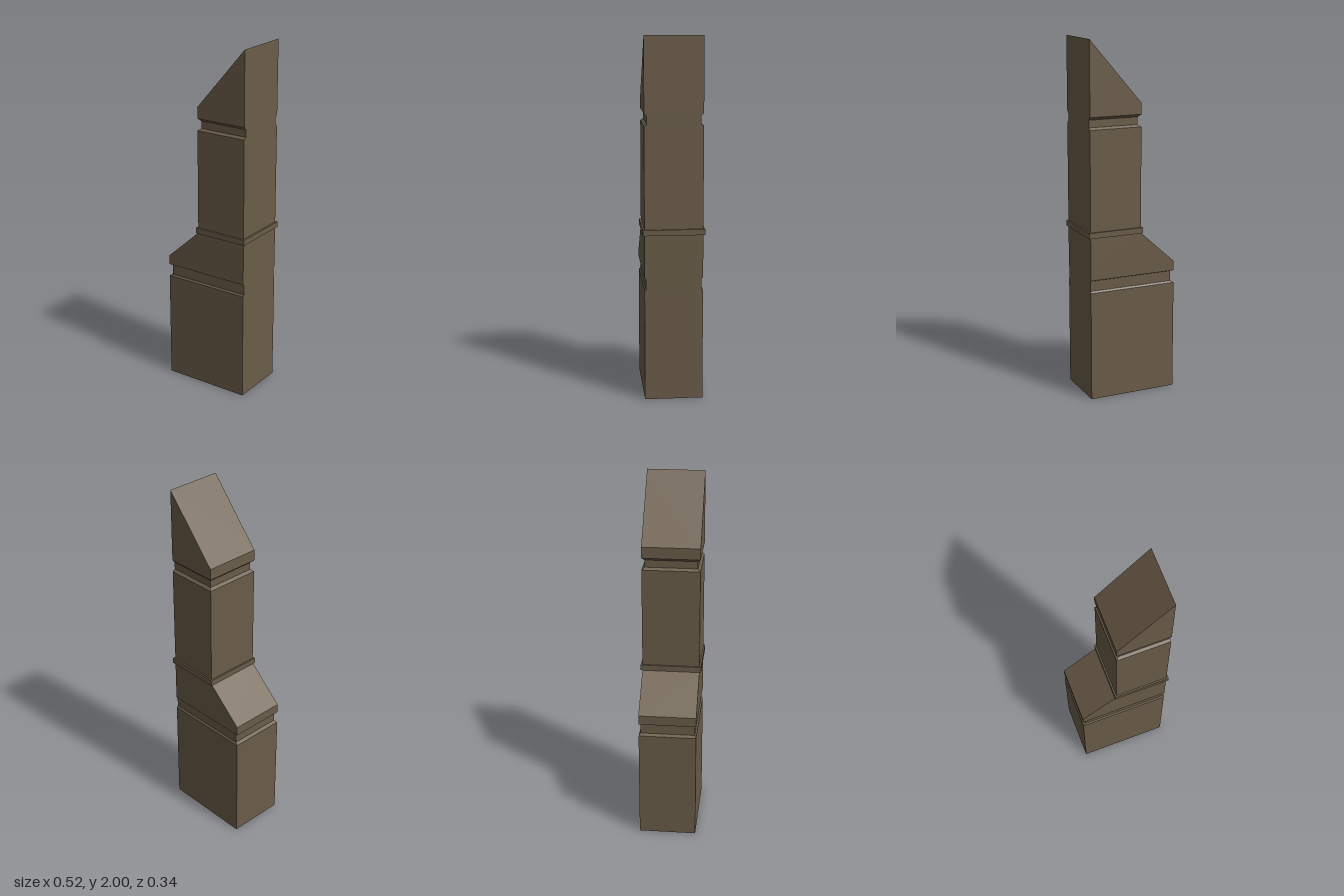
import * as THREE from 'three';

// Loft through four-cornered rings: [left x, left y, right x, right y, half depth]
function loft(rings) {
  const pts = [], idx = [];
  for (const [xl, yl, xr, yr, z] of rings) {
    pts.push(xl, yl, z, xr, yr, z, xr, yr, -z, xl, yl, -z);
  }
  const quad = (a, b, c, d) => idx.push(a, b, c, a, c, d);
  for (let r = 0; r < rings.length - 1; r++) {
    for (let i = 0; i < 4; i++) {
      const a = r * 4 + i, b = r * 4 + (i + 1) % 4;
      quad(a, b, b + 4, a + 4);
    }
  }
  const t = (rings.length - 1) * 4;
  quad(3, 2, 1, 0);
  quad(t, t + 1, t + 2, t + 3);
  const indexed = new THREE.BufferGeometry();
  indexed.setAttribute('position', new THREE.Float32BufferAttribute(pts, 3));
  indexed.setIndex(idx);
  const geo = indexed.toNonIndexed();
  geo.computeVertexNormals();
  return geo;
}

export function createModel() {
  const group = new THREE.Group();
  const stone = new THREE.MeshStandardMaterial({ color: 0x6a5c48 });
  stone.name = 'brown stone';

  const R = 0.248, Z = 0.16;
  const level = (x, y, z = Z) => [x, y, R, y, z];
  const add = (name, geo) => {
    const mesh = new THREE.Mesh(geo, stone);
    mesh.name = name;
    group.add(mesh);
    return mesh;
  };

  // Wide base with a groove and a sloping shoulder
  add('lowerPier', loft([
    level(-0.259, 0),
    level(-0.259, 0.62),
    level(-0.241, 0.63, 0.152),
    level(-0.241, 0.688, 0.152),
    level(-0.259, 0.692),
    level(-0.259, 0.745),
    level(-0.053, 0.932),
  ]));

  // Projecting band between the two stages
  const band = add('band', new THREE.BoxGeometry(0.32, 0.032, 0.338));
  band.position.set(0.098, 0.947, 0);

  // Narrow shaft with a groove and a slanted cap
  add('upperPier', loft([
    level(-0.053, 0.94),
    level(-0.053, 1.522),
    level(-0.037, 1.534, 0.145),
    level(-0.037, 1.575, 0.145),
    level(-0.053, 1.59),
    [-0.053, 1.652, R, 2, Z],
  ]));

  return group;
}
